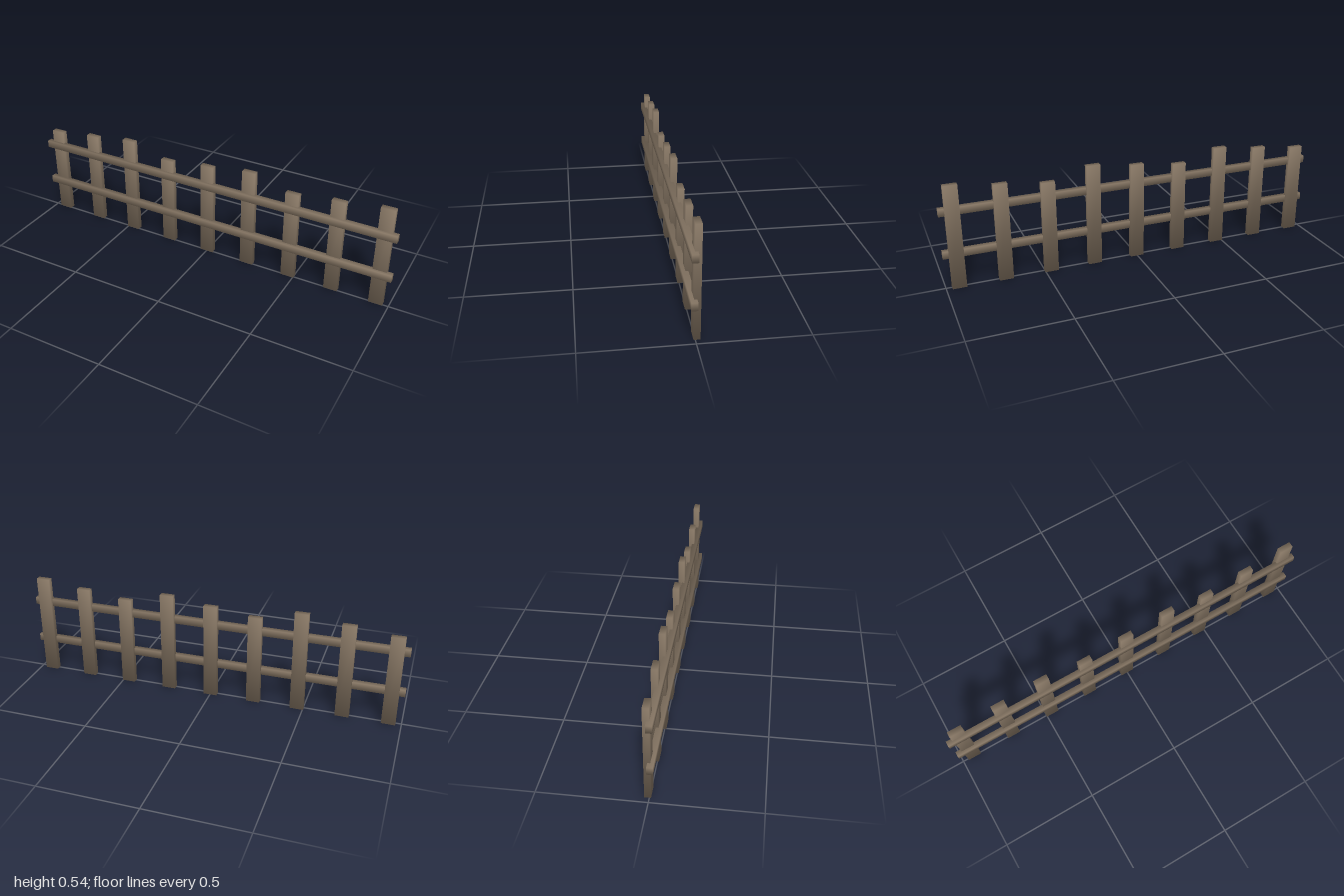
import * as THREE from 'three';

// Box whose corner normals point diagonally outward, for soft shading
function softBox(width, height, depth) {
  const geometry = new THREE.BoxGeometry(width, height, depth);
  const position = geometry.attributes.position;
  const normal = geometry.attributes.normal;
  const n = new THREE.Vector3();
  for (let i = 0; i < position.count; i++) {
    n.set(
      Math.sign(position.getX(i)),
      Math.sign(position.getY(i)),
      Math.sign(position.getZ(i))
    ).normalize();
    normal.setXYZ(i, n.x, n.y, n.z);
  }
  return geometry;
}

export function createModel() {
  const fence = new THREE.Group();
  fence.name = 'fence';

  const wood = new THREE.MeshStandardMaterial({ color: 0x857563 });
  wood.name = 'weathered wood';

  function addBoard(name, size, x, y, z) {
    const board = new THREE.Mesh(softBox(...size), wood);
    board.name = name;
    board.position.set(x, y, z);
    fence.add(board);
  }

  // Nine upright pickets, stepping through three heights
  const heights = [0.485, 0.512, 0.541];
  for (let i = 0; i < 9; i++) {
    const height = heights[i % 3];
    addBoard(`picket${i + 1}`, [0.071, height, 0.03], (i - 4) * 0.2338, height / 2, -0.0075);
  }

  // Two long rails across the front
  addBoard('lowerRail', [2, 0.038, 0.029], 0, 0.179, 0.009);
  addBoard('upperRail', [2, 0.038, 0.029], 0, 0.402, 0.009);

  return fence;
}
